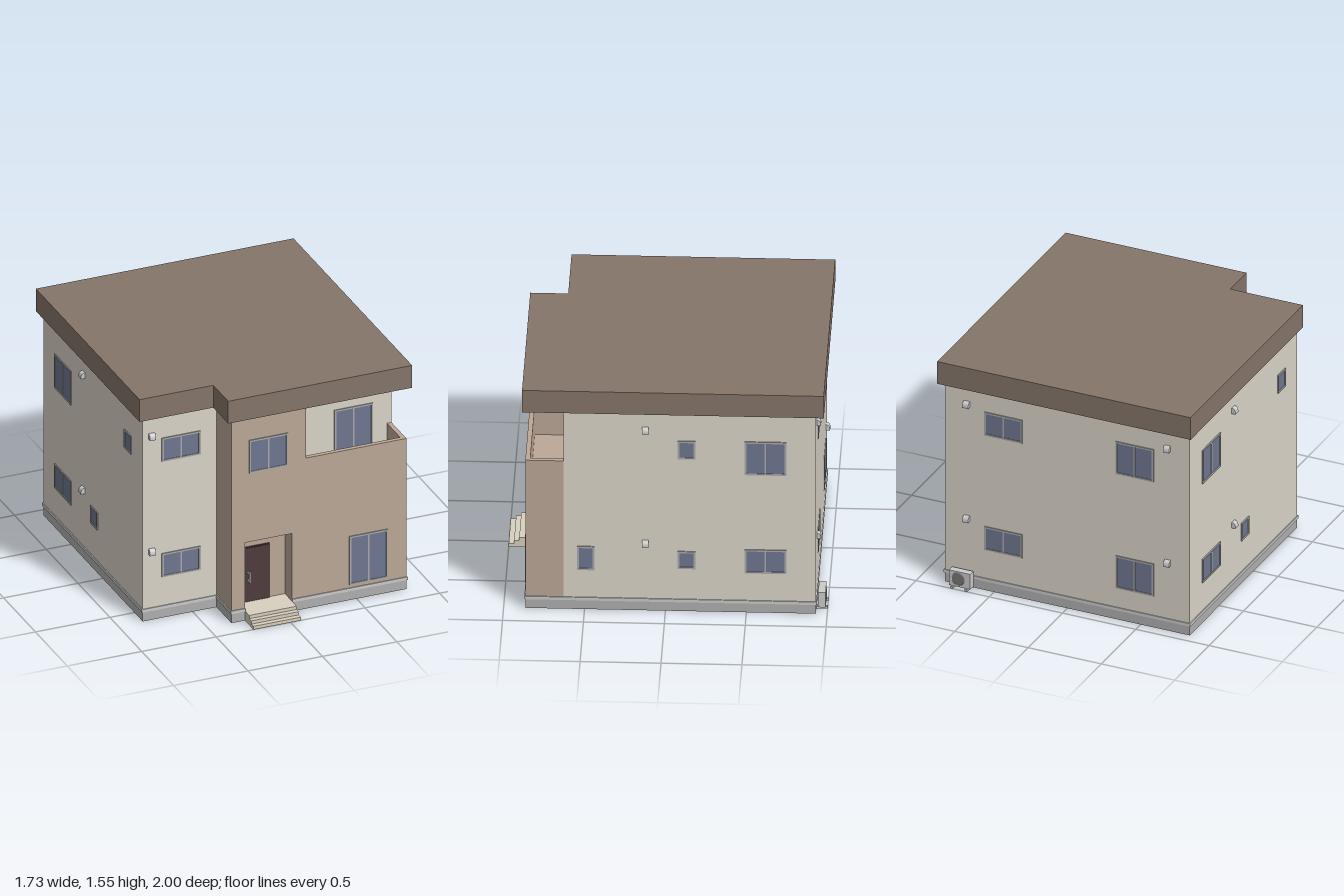
import * as THREE from 'three';

const mat = (color) => new THREE.MeshStandardMaterial({ color });
const M = {
  cream: mat(0xdbd5c8), tan: mat(0xbca898), roof: mat(0x85756a), plinth: mat(0xb0b0b0),
  trim: mat(0xdad8d8), frame: mat(0xaaaaaa), glass: mat(0x6f7890), door: mat(0x503c3e),
  step: mat(0xd8d0be), grey: mat(0xcccccc), dark: mat(0x777777),
};

function mesh(name, geometry, material, parent) {
  const m = new THREE.Mesh(geometry, material);
  m.name = name;
  parent.add(m);
  return m;
}

// Box given by its minimum and maximum on each axis
function box(name, [x0, x1], [y0, y1], [z0, z1], material, parent) {
  const m = mesh(name, new THREE.BoxGeometry(x1 - x0, y1 - y0, z1 - z0), material, parent);
  m.position.set((x0 + x1) / 2, (y0 + y1) / 2, (z0 + z1) / 2);
  return m;
}

function shapeOf(points) {
  return new THREE.Shape(points.map(([x, y]) => new THREE.Vector2(x, y)));
}

// Floor plan of [x, z] points raised from y0 to y1
function slab(name, plan, y0, y1, material, parent) {
  const g = new THREE.ExtrudeGeometry(shapeOf(plan.map(([x, z]) => [x, -z])), { depth: y1 - y0, bevelEnabled: false });
  g.rotateX(-Math.PI / 2).translate(0, y0, 0);
  return mesh(name, g, material, parent);
}

// Walls: the plane each one lies in, and the turn that faces it outward
const SIDES = {
  front: { at: (u, y) => [u, y, 0.63], turn: 0 },
  porch: { at: (u, y) => [u, y, 0.866], turn: 0 },
  back: { at: (u, y) => [u, y, -0.93], turn: Math.PI },
  left: { at: (u, y) => [0.835, y, u], turn: Math.PI / 2 },
  right: { at: (u, y) => [-0.835, y, u], turn: -Math.PI / 2 },
};

function place(object, side, u, y) {
  object.position.set(...SIDES[side].at(u, y));
  object.rotation.y = SIDES[side].turn;
}

// Window centred on u, with one pane or two sliding panes
function addWindow(parent, side, u, w, y0, y1, panes = 2) {
  const g = new THREE.Group();
  g.name = 'window';
  const h = y1 - y0, t = 0.012, a = w / 2, b = h / 2;
  const outer = shapeOf([[-a, -b], [a, -b], [a, b], [-a, b]]);
  const inner = [[-a + t, -b + t], [-a + t, b - t], [a - t, b - t], [a - t, -b + t]];
  outer.holes.push(new THREE.Path(inner.map(([x, y]) => new THREE.Vector2(x, y))));
  mesh('windowFrame', new THREE.ExtrudeGeometry(outer, { depth: 0.006, bevelEnabled: false }), M.frame, g);
  box('windowGlass', [-a + t, a - t], [-b + t, b - t], [-0.004, 0.002], M.glass, g);
  if (panes === 2) box('windowMullion', [-0.005, 0.005], [-b + t, b - t], [0, 0.005], M.frame, g);
  place(g, side, u, (y0 + y1) / 2);
  parent.add(g);
}

// Vent hood with a rounded top and a flat underside
function addVent(parent, side, u, y) {
  const s = new THREE.Shape();
  s.moveTo(0, 0);
  s.lineTo(0.026, 0);
  s.lineTo(0.026, 0.012);
  s.quadraticCurveTo(0.024, 0.038, 0, 0.04);
  const g = new THREE.ExtrudeGeometry(s, { depth: 0.04, bevelEnabled: false, curveSegments: 6 });
  g.rotateY(-Math.PI / 2).translate(0.02, -0.02, 0);
  place(mesh('ventHood', g, M.grey, parent), side, u, y);
}

function addDoor(parent) {
  const g = new THREE.Group();
  g.name = 'frontDoor';
  box('doorFrame', [-0.24, -0.035], [0.067, 0.445], [0.74, 0.756], M.door, g);
  box('doorLeaf', [-0.196, -0.041], [0.067, 0.438], [0.75, 0.76], M.door, g);
  box('doorGlass', [-0.231, -0.202], [0.075, 0.435], [0.75, 0.758], M.glass, g);
  box('doorHandle', [-0.182, -0.172], [0.2, 0.28], [0.77, 0.776], M.grey, g);
  for (const y of [0.21, 0.262]) box('handleMount', [-0.19, -0.172], [y, y + 0.012], [0.758, 0.772], M.grey, g);
  parent.add(g);
}

// Outdoor air conditioner standing against the back wall
function addAirConditioner(parent) {
  const g = new THREE.Group();
  g.name = 'airConditioner';
  box('unitBody', [0.635, 0.78], [0.015, 0.12], [-0.988, -0.942], M.trim, g);
  for (const x of [0.66, 0.757]) box('unitFoot', [x - 0.01, x + 0.01], [0, 0.015], [-1, -0.932], M.grey, g);
  const fan = mesh('fanGrille', new THREE.CylinderGeometry(0.04, 0.04, 0.004, 24), M.dark, g);
  const ring = mesh('fanRing', new THREE.TorusGeometry(0.041, 0.003, 6, 24), M.grey, g);
  fan.rotation.x = Math.PI / 2;
  fan.position.set(0.72, 0.067, -0.988);
  ring.position.set(0.72, 0.067, -0.989);
  parent.add(g);
}

export function createModel() {
  const house = new THREE.Group();
  house.name = 'house';

  // Stepped floor plan shared by the plinth and roof
  const plan = (x, back, wing, notch, front) =>
    [[-x, back], [-x, wing], [notch, wing], [notch, front], [x, front], [x, back]];
  slab('plinth', plan(0.835, -0.93, 0.63, -0.34, 0.866), 0, 0.066, M.plinth, house);
  slab('roof', plan(0.865, -0.98, 0.65, -0.37, 0.885), 1.4, 1.555, M.roof, house);

  // Main body and projecting front block with its door opening
  box('mainWalls', [-0.835, 0.835], [0.066, 1.4], [-0.93, 0.63], M.cream, house);
  const frontFace = shapeOf([
    [-0.34, 0.066], [-0.25, 0.066], [-0.25, 0.54], [0.068, 0.54], [0.068, 0.066], [0.835, 0.066],
    [0.835, 0.85], [0.16, 0.85], [0.16, 1.4], [-0.34, 1.4],
  ]);
  const frontGeo = new THREE.ExtrudeGeometry(frontFace, { depth: 0.236, bevelEnabled: false });
  frontGeo.translate(0, 0, 0.63);
  mesh('frontBlock', frontGeo, M.tan, house);
  box('porchBackWall', [-0.25, 0.068], [0.066, 0.54], [0.63, 0.75], M.tan, house);

  // Balcony parapet
  box('balconyParapetFront', [0.16, 0.835], [0.85, 1.045], [0.836, 0.866], M.tan, house);
  box('balconyParapetSide', [0.805, 0.835], [0.85, 1.045], [0.63, 0.836], M.tan, house);

  // Trim strip above the plinth, broken at the door
  const y = [0.064, 0.085], o = 0.006;
  box('trimBack', [-0.835 - o, 0.835 + o], y, [-0.93 - o, -0.92], M.trim, house);
  box('trimLeft', [0.825, 0.835 + o], y, [-0.925, 0.866 + o], M.trim, house);
  box('trimRight', [-0.835 - o, -0.825], y, [-0.925, 0.63 + o], M.trim, house);
  box('trimWing', [-0.83, -0.34], y, [0.62, 0.63 + o], M.trim, house);
  box('trimReturn', [-0.34 - o, -0.33], y, [0.63, 0.866 + o], M.trim, house);
  box('trimFront', [-0.335, -0.25], y, [0.856, 0.866 + o], M.trim, house);
  box('trimFront', [0.068, 0.83], y, [0.856, 0.866 + o], M.trim, house);

  // Entrance steps and porch floor
  [1, 0.967, 0.935].forEach((z, i) =>
    box('step', [-0.25, 0.068], [i * 0.0225, (i + 1) * 0.0225], [i === 2 ? 0.75 : 0.866, z], M.step, house));
  addDoor(house);

  // Windows: side, centre, width, bottom, top, panes
  const windows = [
    ['front', -0.578, 0.26, 0.282, 0.447], ['front', -0.578, 0.26, 1.084, 1.248],
    ['porch', -0.092, 0.26, 1.018, 1.246], ['porch', 0.58, 0.26, 0.105, 0.443],
    ['front', 0.58, 0.26, 0.87, 1.208],
    ['back', 0.435, 0.26, 0.282, 0.447], ['back', 0.435, 0.26, 1.084, 1.248],
    ['back', -0.46, 0.26, 0.218, 0.446], ['back', -0.46, 0.26, 1.018, 1.246],
    ['left', 0.492, 0.11, 0.278, 0.445, 1],
    ['left', -0.131, 0.11, 0.3, 0.423, 1], ['left', -0.131, 0.11, 1.076, 1.203, 1],
    ['right', -0.131, 0.11, 0.3, 0.423, 1], ['right', 0.4, 0.11, 1.076, 1.203, 1],
  ];
  for (const side of ['left', 'right'])
    windows.push([side, -0.618, 0.26, 0.278, 0.445], [side, -0.618, 0.26, 0.973, 1.208]);
  for (const w of windows) addWindow(house, ...w);

  // Vent hoods on both storeys
  for (const [side, u] of [['front', -0.776], ['left', 0.125], ['right', -0.3], ['back', 0.685], ['back', -0.685]])
    for (const h of [0.476, 1.276]) addVent(house, side, u, h);

  addAirConditioner(house);
  return house;
}
